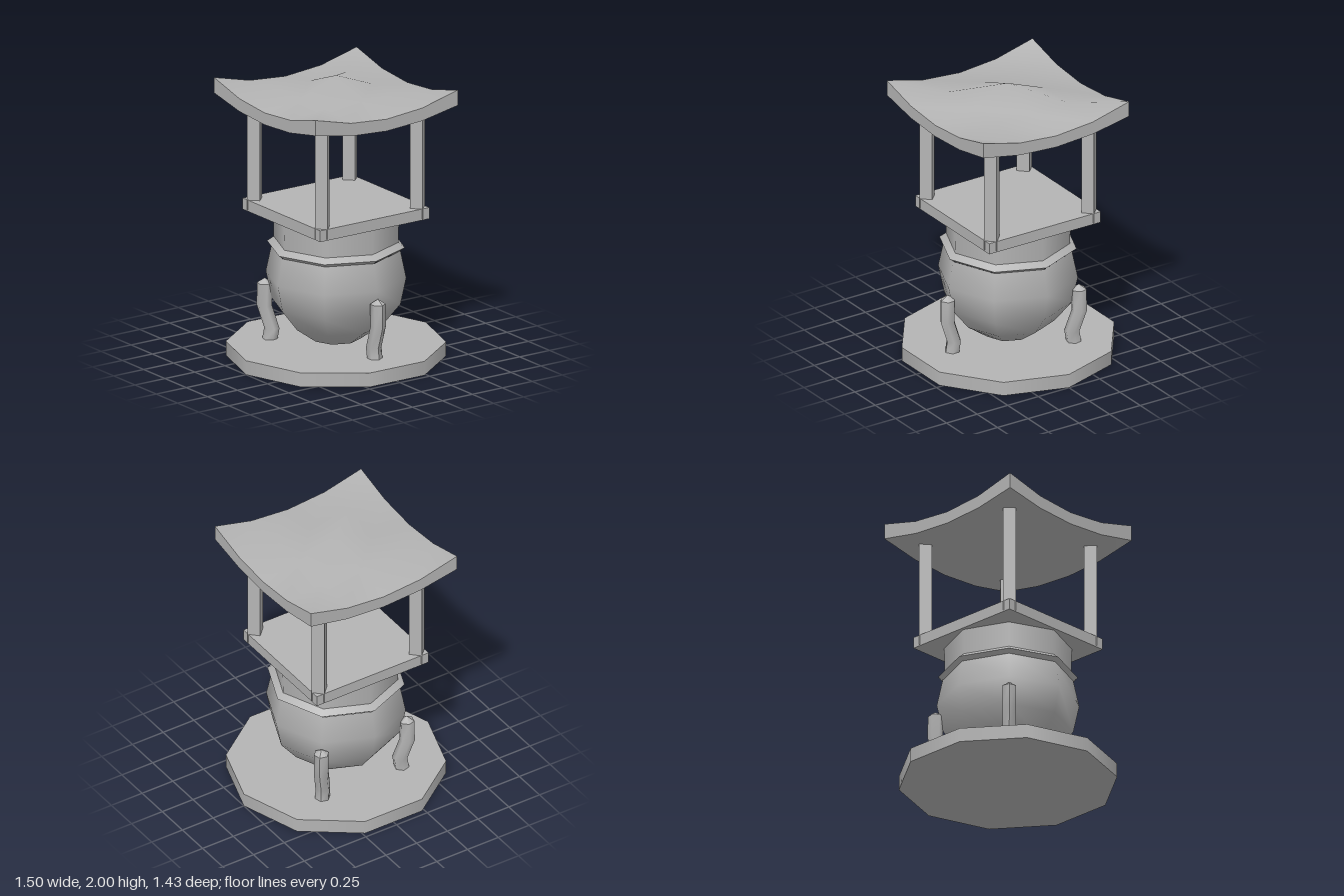
import * as THREE from 'three';

const stone = new THREE.MeshStandardMaterial({ color: 0xb4b4b4 });
stone.name = 'stone';

function part(name, geometry, parent) {
  const mesh = new THREE.Mesh(geometry, stone);
  mesh.name = name;
  parent.add(mesh);
  return mesh;
}

// Eight-sided turned piece from [radius, height] pairs, bottom to top
function turned(points) {
  return new THREE.LatheGeometry(points.map(([r, y]) => new THREE.Vector2(r, y)), 8);
}

// Square roof slab: eaves lift towards the corners, top rises to a peak
function roofGeometry() {
  const half = 0.595;
  const geo = new THREE.BoxGeometry(2 * half, 1, 2 * half, 4, 1, 4);
  const p = geo.attributes.position;
  for (let i = 0; i < p.count; i++) {
    const u = Math.abs(p.getX(i)) / half;
    const v = Math.abs(p.getZ(i)) / half;
    const lift = u * u * v * v;
    const peak = Math.pow(Math.max(0, 1 - Math.max(u, v)), 1.8);
    p.setY(i, p.getY(i) > 0 ? 1.84 + 0.1 * lift + 0.16 * peak : 1.755 + 0.075 * lift);
  }
  geo.computeVertexNormals();
  return geo;
}

// Hexagonal leg bent along a path of [outward, height], with a pointed top
function legGeometry() {
  const path = [[0.457, 0.09], [0.443, 0.175], [0.495, 0.335], [0.492, 0.495]];
  const geo = new THREE.CylinderGeometry(0.053, 0.053, 3, 6, 3);
  const p = geo.attributes.position;
  for (let i = 0; i < p.count; i++) {
    const row = Math.round(p.getY(i) + 1.5);
    const [z, y] = path[row];
    const centre = Math.hypot(p.getX(i), p.getZ(i)) < 0.001;
    p.setY(i, y + (centre && row === 3 ? 0.035 : 0));
    p.setZ(i, p.getZ(i) + z);
  }
  geo.computeVertexNormals();
  return geo;
}

export function createModel() {
  const model = new THREE.Group();
  model.name = 'stoneLantern';

  // Ten-sided base slab
  const base = part('base', new THREE.CylinderGeometry(0.75, 0.75, 0.1, 10), model);
  base.position.y = 0.05;
  base.rotation.y = Math.PI / 10;

  // Rounded pot with a ridge and a neck
  part('bowl', turned([[0, 0.1], [0.17, 0.13], [0.325, 0.24], [0.445, 0.39],
    [0.485, 0.58], [0.445, 0.77]]), model);
  part('ridgeLower', turned([[0.435, 0.765], [0.476, 0.795]]), model);
  part('ridgeUpper', turned([[0.476, 0.795], [0.43, 0.83]]), model);
  part('neck', turned([[0.43, 0.82], [0.435, 1.02]]), model);

  // Three bent legs: one in front, two behind
  const legShape = legGeometry();
  for (const degrees of [0, 135, 225]) {
    part('leg', legShape, model).rotation.y = THREE.MathUtils.degToRad(degrees);
  }

  // Platform and four posts set diagonally at its corners
  part('platform', new THREE.BoxGeometry(0.91, 0.08, 0.91), model).position.y = 1.05;
  const postShape = new THREE.BoxGeometry(0.088, 0.77, 0.088);
  for (const x of [-1, 1]) {
    for (const z of [-1, 1]) {
      const post = part('post', postShape, model);
      post.position.set(x * 0.397, 1.405, z * 0.397);
      post.rotation.y = Math.PI / 4;
    }
  }

  part('roof', roofGeometry(), model);
  return model;
}
